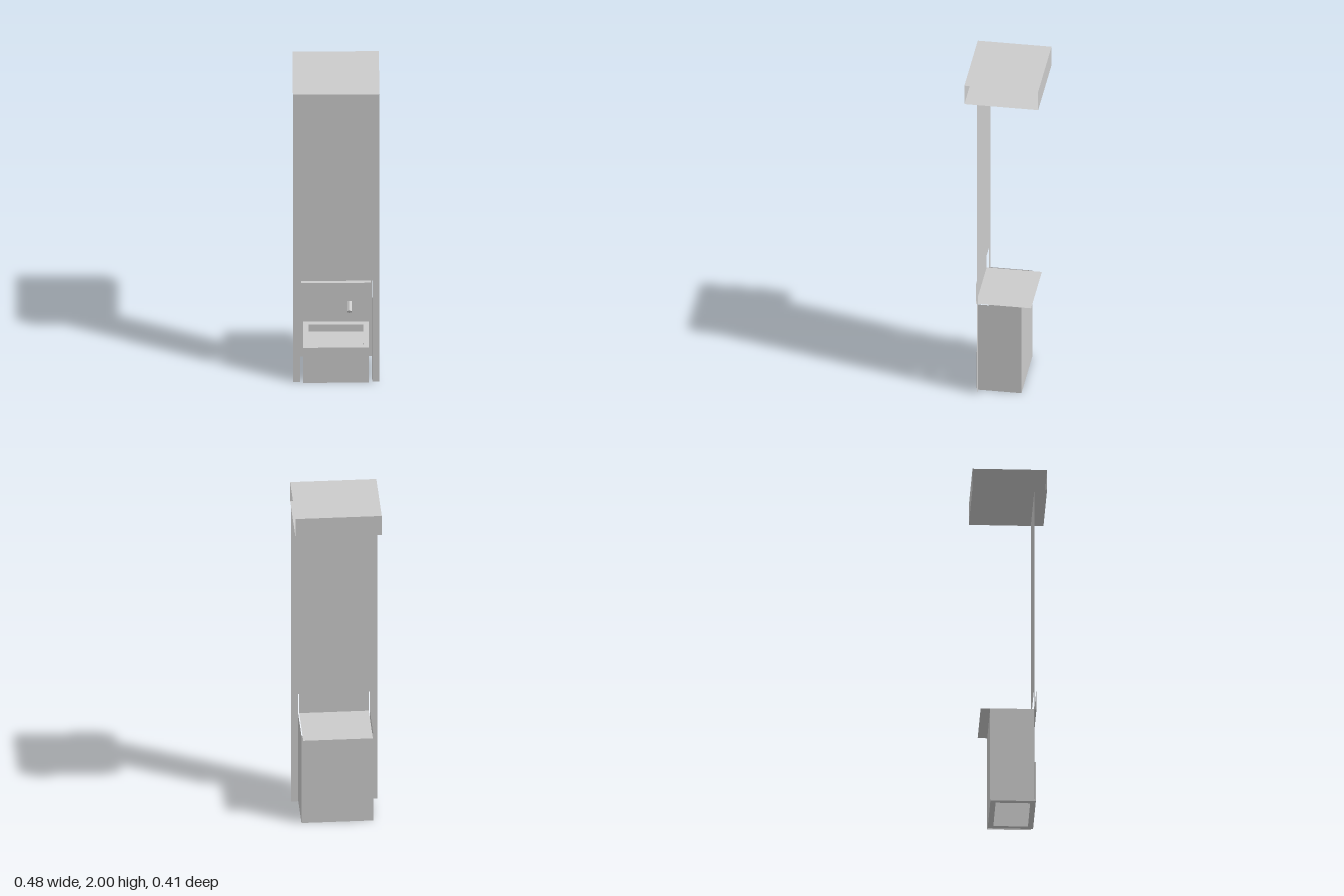
import * as THREE from 'three';

const material = new THREE.MeshStandardMaterial({ color: 0xcccccc, side: THREE.DoubleSide, flatShading: true });

function addMesh(parent, name, geometry) {
  const mesh = new THREE.Mesh(geometry, material);
  mesh.name = name;
  parent.add(mesh);
  return mesh;
}

// Thin sheet, turned by rx / ry and placed at (x, y, z)
function sheet(parent, name, w, h, [x, y, z], rx = 0, ry = 0) {
  const mesh = addMesh(parent, name, new THREE.PlaneGeometry(w, h));
  mesh.rotation.set(rx, ry, 0);
  mesh.position.set(x, y, z);
}

// Rectangular path from x0,y0 to x1,y1
function rect(PathType, x0, y0, x1, y1) {
  return new PathType([[x0, y0], [x1, y0], [x1, y1], [x0, y1]].map(p => new THREE.Vector2(...p)));
}

// Six-sided rod from a to b
function rod(parent, name, a, b, radius) {
  const from = new THREE.Vector3(...a), to = new THREE.Vector3(...b);
  const dir = to.clone().sub(from);
  const mesh = addMesh(parent, name, new THREE.CylinderGeometry(radius, radius, dir.length(), 6));
  mesh.position.copy(from).add(to).multiplyScalar(0.5);
  mesh.quaternion.setFromUnitVectors(new THREE.Vector3(0, 1, 0), dir.normalize());
}

// Four upright sheets around a rectangle
function walls(parent, name, hx, y0, y1, z0, z1) {
  const h = y1 - y0, y = (y0 + y1) / 2;
  for (const s of [-1, 1]) sheet(parent, name + 'Side', z1 - z0, h, [s * hx, y, (z0 + z1) / 2], 0, s * Math.PI / 2);
  sheet(parent, name + 'Front', 2 * hx, h, [0, y, z1]);
  sheet(parent, name + 'Back', 2 * hx, h, [0, y, z0], 0, Math.PI);
}

export function createModel() {
  const model = new THREE.Group();
  const flat = -Math.PI / 2;
  const wallZ = 0.137, backZ = -0.107, frontZ = 0.147;

  // Canopy: top, bottom, front and back, open at both ends
  const canopy = new THREE.Group();
  canopy.name = 'canopy';
  model.add(canopy);
  sheet(canopy, 'canopyTop', 0.48, 0.414, [0, 2, 0], flat);
  sheet(canopy, 'canopyBottom', 0.48, 0.414, [0, 1.88, 0], -flat);
  sheet(canopy, 'canopyFront', 0.48, 0.12, [0, 1.94, 0.207]);
  sheet(canopy, 'canopyBack', 0.48, 0.12, [0, 1.94, -0.207], 0, Math.PI);

  // Tall wall with an opening at its foot
  const wall = new THREE.Shape([
    [-0.24, 0], [-0.2, 0], [-0.2, 0.685], [0.2, 0.685], [0.2, 0], [0.24, 0], [0.24, 1.88], [-0.24, 1.88],
  ].map(p => new THREE.Vector2(...p)));
  addMesh(model, 'wall', new THREE.ShapeGeometry(wall)).position.z = wallZ;

  // Hood: front panel and the shelf that roofs the alcove
  const hood = new THREE.Group();
  hood.name = 'hood';
  model.add(hood);
  sheet(hood, 'hoodPanel', 0.388, 0.125, [0, 0.6175, 0.15]);
  sheet(hood, 'hoodShelf', 0.388, 0.31, [0, 0.555, -0.005], flat);

  // Alcove: two sides and a back
  const alcove = new THREE.Group();
  alcove.name = 'alcove';
  model.add(alcove);
  for (const s of [-1, 1])
    sheet(alcove, 'alcoveSide', wallZ - backZ, 0.555, [s * 0.2, 0.2775, (wallZ + backZ) / 2], 0, s * Math.PI / 2);
  sheet(alcove, 'alcoveBack', 0.4, 0.555, [0, 0.2775, backZ], 0, Math.PI);

  // Basin: outer walls, flat rims at top and foot, and a shallow recess
  const basin = new THREE.Group();
  basin.name = 'basin';
  model.add(basin);
  const hx = 0.183, rim = 0.03, top = 0.238, floorY = 0.19;
  const z0 = backZ + 0.002;
  walls(basin, 'basin', hx, 0, top, z0, frontZ);
  walls(basin, 'recess', hx - rim, floorY, top, z0 + rim, frontZ - rim);
  const ring = rect(THREE.Shape, -hx, -frontZ, hx, -z0);
  ring.holes.push(rect(THREE.Path, -hx + rim, -frontZ + rim, hx - rim, -z0 - rim));
  for (const [name, y] of [['basinRim', top], ['basinFoot', 0]]) {
    const mesh = addMesh(basin, name, new THREE.ShapeGeometry(ring));
    mesh.rotation.x = flat;
    mesh.position.y = y;
  }
  sheet(basin, 'recessFloor', 2 * (hx - rim), frontZ - z0 - 2 * rim, [0, floorY, (frontZ + z0) / 2], flat);

  // Tap: short arm from the back, then a spout sloping down
  const tap = new THREE.Group();
  tap.name = 'tap';
  model.add(tap);
  rod(tap, 'tapArm', [0.075, 0.428, backZ], [0.075, 0.428, -0.04], 0.016);
  rod(tap, 'tapSpout', [0.075, 0.43, -0.045], [0.075, 0.392, 0.02], 0.016);

  return model;
}
